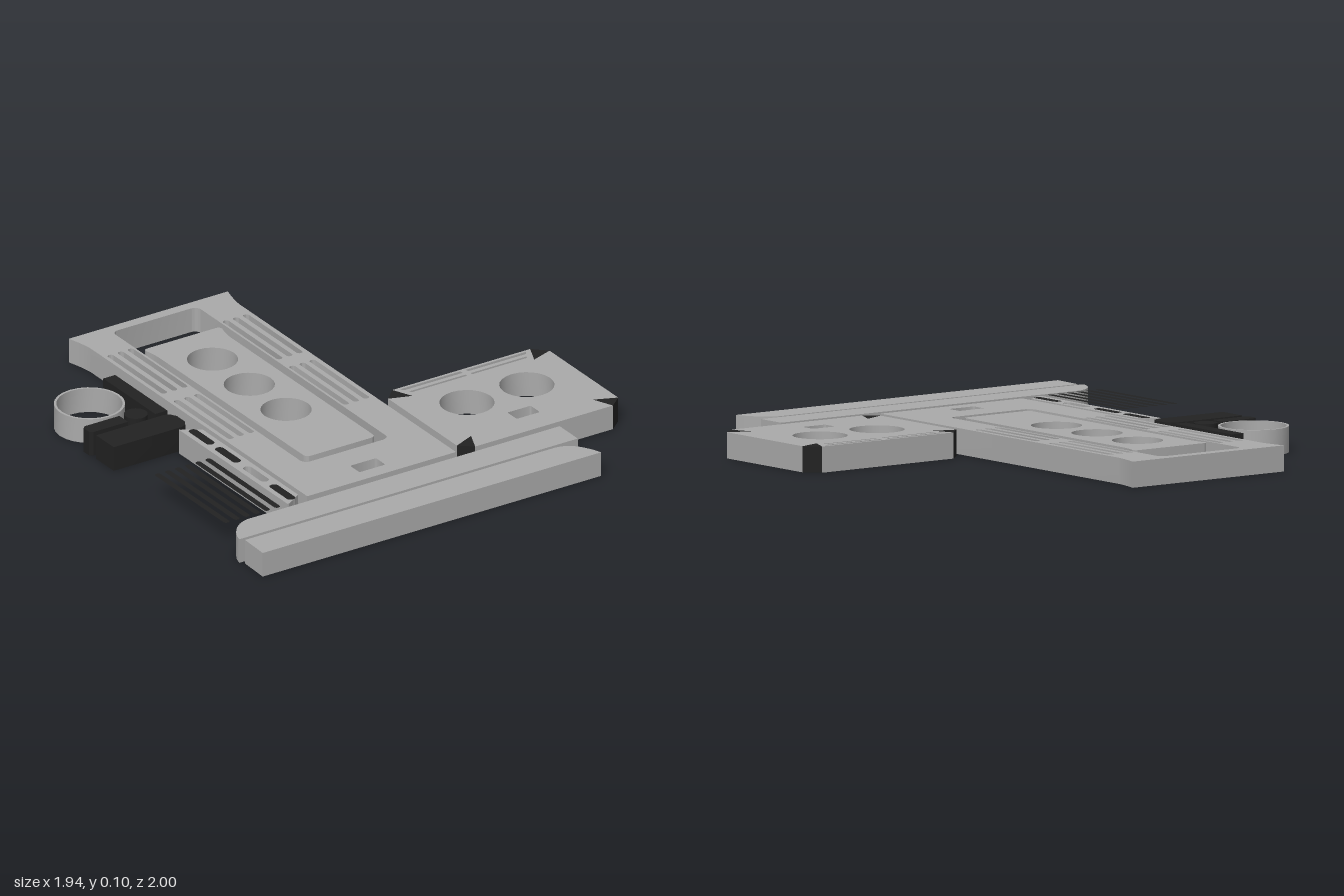
import * as THREE from 'three';
import { mergeGeometries, toCreasedNormals } from 'three/addons/utils/BufferGeometryUtils.js';

const H = 0.105;

// Shapes are drawn in plan as (x, z); the sign flip makes them face up once laid flat.
function poly(points, Type = THREE.Shape) {
  return new Type(points.map(([x, z]) => new THREE.Vector2(x, -z)));
}
function circle(x, z, r, Type = THREE.Path) {
  const p = new Type();
  p.absarc(x, -z, r, 0, Math.PI * 2);
  return p;
}
function rounded(x0, x1, z0, z1, r, Type = THREE.Path) {
  const p = new Type(), a = -z1, b = -z0, q = Math.PI / 2;
  p.absarc(x1 - r, a + r, r, -q, 0);
  p.absarc(x1 - r, b - r, r, 0, q);
  p.absarc(x0 + r, b - r, r, q, 2 * q);
  p.absarc(x0 + r, a + r, r, 2 * q, 3 * q);
  p.closePath();
  return p;
}

// Vertical skirt between consecutive points, from the top down to the ground
function skirt(points, closed = true) {
  const pos = [], n = points.length;
  for (let i = 0; i < (closed ? n : n - 1); i++) {
    const a = points[i], b = points[(i + 1) % n];
    if (a.distanceTo(b) < 1e-5) continue;
    pos.push(a.x, 0, -a.y, b.x, 0, -b.y, b.x, H, -b.y);
    pos.push(a.x, 0, -a.y, b.x, H, -b.y, a.x, H, -a.y);
  }
  const g = new THREE.BufferGeometry();
  g.setAttribute('position', new THREE.Float32BufferAttribute(pos, 3));
  g.computeVertexNormals();
  return toCreasedNormals(g, 0.5);
}

function topFace(shape, y = H) {
  const g = new THREE.ShapeGeometry(shape, 12).toNonIndexed();
  g.rotateX(-Math.PI / 2);
  g.translate(0, y, 0);
  g.deleteAttribute('uv');
  return g;
}

// Open-bottomed shell: top face plus skirts on the outline and on every hole
function shell(shape, holes = []) {
  shape.holes.push(...holes);
  const { shape: outline, holes: inner } = shape.extractPoints(12);
  if (THREE.ShapeUtils.isClockWise(outline)) outline.reverse();
  inner.forEach((h) => { if (!THREE.ShapeUtils.isClockWise(h)) h.reverse(); });
  return mergeGeometries([topFace(shape), ...[outline, ...inner].map((p) => skirt(p))]);
}

export function createModel() {
  const model = new THREE.Group();
  const grey = new THREE.MeshStandardMaterial({ color: 0xaaaaaa, side: THREE.DoubleSide });
  grey.name = 'panel grey';
  const black = new THREE.MeshStandardMaterial({ color: 0x222222, side: THREE.DoubleSide });
  black.name = 'trim black';
  const add = (name, geometry, material) => {
    const mesh = new THREE.Mesh(geometry, material);
    mesh.name = name;
    model.add(mesh);
  };

  // Main frame with flared end, large opening, slotted sides and a small window
  const frame = new THREE.Shape();
  frame.moveTo(-0.54, -0.68);
  frame.lineTo(0.168, -0.68);
  frame.lineTo(0.168, 0.88);
  frame.quadraticCurveTo(0.172, 0.93, 0.192, 1);
  frame.lineTo(-0.565, 1);
  frame.quadraticCurveTo(-0.544, 0.93, -0.54, 0.88);
  frame.closePath();
  const frameHoles = [
    rounded(-0.39, 0.016, -0.955, 0.43, 0.03),
    rounded(-0.25, -0.127, 0.55, 0.618, 0.008),
  ];
  for (const x of [-0.51, -0.461, -0.413, 0.039, 0.087, 0.135]) {
    for (const z of [-0.792, -0.313]) {
      frameHoles.push(rounded(x - 0.013, x + 0.013, z, z + 0.405, 0.0125));
    }
  }
  add('mainFrame', shell(frame, frameHoles), grey);

  // Centre panel with three round openings
  const centre = new THREE.Shape();
  centre.moveTo(-0.33, -0.39);
  centre.lineTo(-0.045, -0.39);
  centre.quadraticCurveTo(-0.022, -0.39, -0.022, -0.365);
  centre.lineTo(-0.022, 0.66);
  centre.quadraticCurveTo(-0.02, 0.7, -0.008, 0.735);
  centre.quadraticCurveTo(-0.006, 0.757, -0.025, 0.757);
  centre.lineTo(-0.35, 0.757);
  centre.quadraticCurveTo(-0.372, 0.757, -0.368, 0.735);
  centre.quadraticCurveTo(-0.358, 0.7, -0.358, 0.66);
  centre.lineTo(-0.353, -0.365);
  centre.quadraticCurveTo(-0.353, -0.39, -0.33, -0.39);
  add('centrePanel', shell(centre, [-0.535, -0.27, -0.005].map((z) => circle(-0.188, z, 0.102))), grey);

  // Side panel: black corners are cut out of the grey face
  const mid = 0.586;
  const corners = [];
  for (const s of [-1, 1]) {
    corners.push([[mid + s * 0.384, 0.14], [mid + s * 0.328, 0.085], [mid + s * 0.29, 0.172]]);
    corners.push([[mid + s * 0.384, 0.635], [mid + s * 0.328, 0.682], [mid + s * 0.29, 0.595]]);
  }
  const [tl, bl, tr, br] = corners;
  const panel = poly([tl[0], tl[2], tl[1], tr[1], tr[2], tr[0], br[0], br[2], br[1], bl[1], bl[2], bl[0]]);
  panel.holes.push(
    circle(0.445, 0.34, 0.11), circle(0.73, 0.34, 0.11),
    rounded(0.53, 0.64, 0.503, 0.57, 0.008),
    poly([[0.285, 0.097], [0.575, 0.097], [0.575, 0.113], [0.297, 0.113]], THREE.Path),
    poly([[0.6, 0.097], [0.887, 0.097], [0.875, 0.113], [0.6, 0.113]], THREE.Path),
    poly([[0.307, 0.132], [0.575, 0.132], [0.575, 0.144], [0.312, 0.144]], THREE.Path),
    poly([[0.6, 0.132], [0.865, 0.132], [0.86, 0.144], [0.6, 0.144]], THREE.Path),
  );
  const edge = (a, b) => skirt([a, b].map(([x, z]) => new THREE.Vector2(x, -z)), false);
  add('sidePanel', mergeGeometries([
    topFace(panel), ...panel.holes.map((h) => skirt(h.getPoints(12))),
    edge(tl[1], tr[1]), edge(tr[0], br[0]), edge(br[1], bl[1]), edge(bl[0], tl[0]),
  ]), grey);
  for (const c of corners) {
    add('sidePanelCorner', mergeGeometries([topFace(poly(c)), edge(c[0], c[1])]), black);
  }

  // Long front rails, each with one rounded end
  const rearRail = new THREE.Shape();
  rearRail.moveTo(-0.972, -0.848);
  rearRail.lineTo(0.637, -0.848);
  rearRail.lineTo(0.637, -0.717);
  rearRail.lineTo(-0.845, -0.717);
  rearRail.quadraticCurveTo(-0.9, -0.722, -0.94, -0.775);
  rearRail.quadraticCurveTo(-0.97, -0.815, -0.972, -0.848);
  add('rearRail', shell(rearRail), grey);
  const frontRail = new THREE.Shape();
  frontRail.moveTo(-0.963, -1);
  frontRail.lineTo(0.647, -1);
  frontRail.quadraticCurveTo(0.64, -0.97, 0.612, -0.925);
  frontRail.quadraticCurveTo(0.575, -0.868, 0.515, -0.865);
  frontRail.lineTo(-0.958, -0.865);
  frontRail.closePath();
  add('frontRail', shell(frontRail), grey);

  // Narrow slotted strip: one open slot, three filled
  const strip = poly([[-0.642, -0.09], [-0.635, -0.085], [-0.562, -0.04], [-0.562, 0.648], [-0.635, 0.693], [-0.642, 0.693]]);
  const slot = (z, Type) => rounded(-0.62, -0.583, z, z + 0.155, 0.018, Type);
  const slots = [-0.065, 0.125, 0.327, 0.517];
  add('slottedStrip', shell(strip, slots.map((z) => slot(z))), grey);
  for (const i of [0, 1, 3]) add('slotInlay', topFace(slot(slots[i], THREE.Shape)), black);

  // Six thin flat slats
  for (let i = 0; i < 6; i++) {
    const x = -0.93 + i * 0.048;
    add('slat', topFace(rounded(x - 0.013, x + 0.013, 0.185, 0.7, 0.0125, THREE.Shape)), black);
  }

  // Ring and loose black pieces
  add('ring', shell(circle(-0.81, -0.48, 0.142, THREE.Shape), [circle(-0.81, -0.48, 0.132)]), grey);
  add('longBlock', shell(poly([[-0.644, -0.632], [-0.587, -0.632], [-0.587, -0.257], [-0.644, -0.257]])), black);
  add('smallBlock', shell(poly([[-0.937, -0.322], [-0.772, -0.322], [-0.772, -0.26], [-0.937, -0.26],
    [-0.95, -0.272], [-0.95, -0.31]])), black);
  add('roundButton', shell(circle(-0.706, -0.303, 0.047, THREE.Shape)), black);
  add('wideBlock', shell(poly([[-0.943, -0.23], [-0.62, -0.232], [-0.597, -0.222], [-0.582, -0.195],
    [-0.582, -0.137], [-0.597, -0.112], [-0.62, -0.104], [-0.943, -0.104]])), black);
  return model;
}
